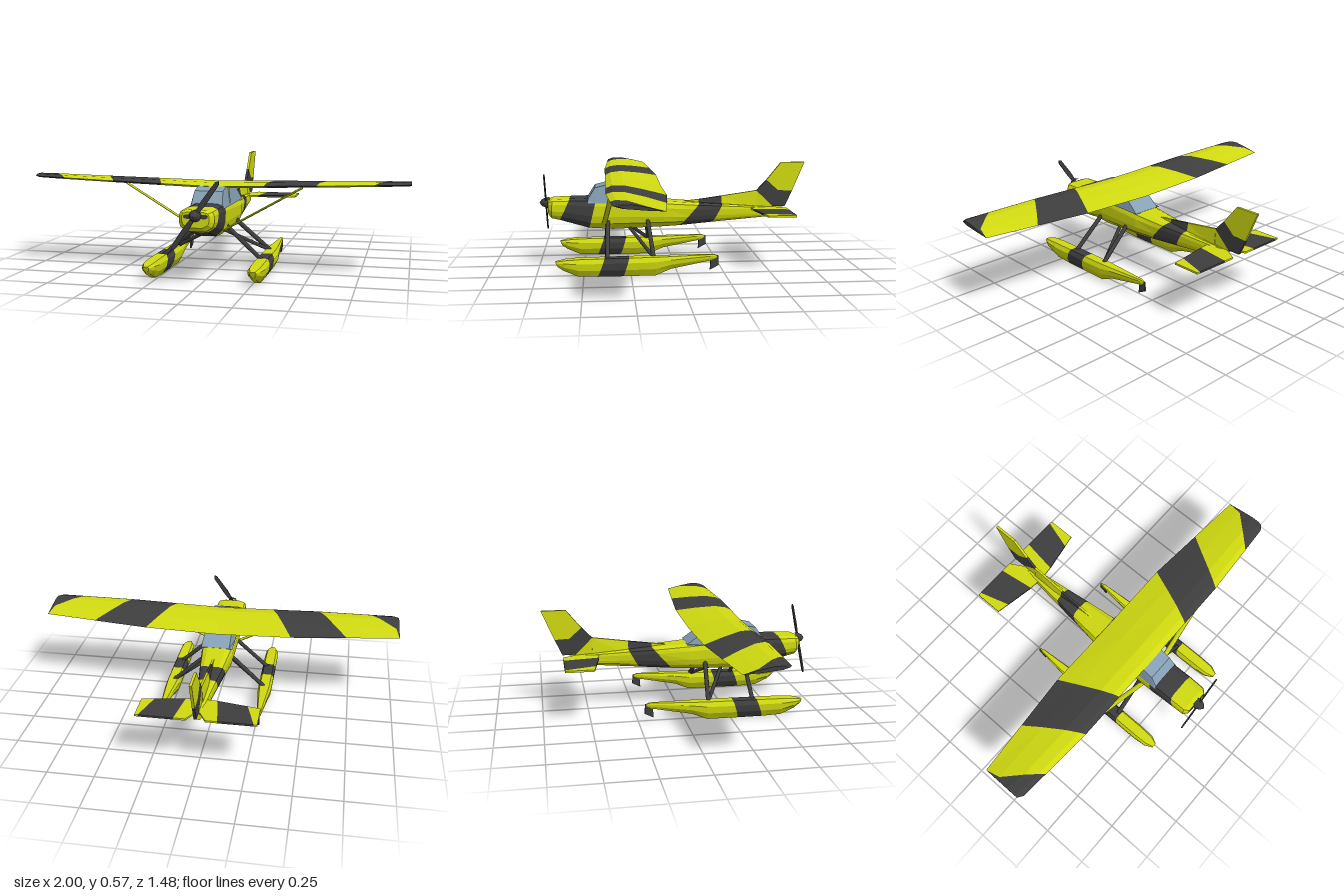
import * as THREE from 'three';

const paint = (name, color) => {
  const m = new THREE.MeshStandardMaterial({ color });
  m.name = name;
  return m;
};
const lerp = THREE.MathUtils.lerp;

export function createModel() {
  const model = new THREE.Group();
  model.name = 'floatplane';
  const yellow = paint('yellow', 0xd0da10);
  const dark = paint('charcoal', 0x3e3e3e);
  const glass = paint('glass', 0x86a0b6);

  function add(name, geometry, material, parent = model) {
    const mesh = new THREE.Mesh(geometry, material);
    mesh.name = name;
    parent.add(mesh);
    return mesh;
  }

  // Faceted skin over cross-sections, with one material per interval
  function loft(name, sections, materials) {
    const pos = [], geo = new THREE.BufferGeometry();
    const tri = (a, b, c) => pos.push(...a, ...b, ...c);
    const n = sections[0].length, last = sections.length - 1;
    for (let i = 0; i < last; i++) {
      const start = pos.length / 3, A = sections[i], B = sections[i + 1];
      for (let j = 0; j < n; j++) {
        const k = (j + 1) % n;
        tri(A[j], B[j], A[k]);
        tri(A[k], B[j], B[k]);
      }
      for (let j = 1; j < n - 1; j++) {
        if (i === 0) tri(A[0], A[j], A[j + 1]);
        if (i === last - 1) tri(B[0], B[j + 1], B[j]);
      }
      geo.addGroup(start, pos.length / 3 - start, i);
    }
    geo.setAttribute('position', new THREE.Float32BufferAttribute(pos, 3));
    geo.computeVertexNormals();
    return add(name, geo, materials);
  }

  // Section from a right-half outline [x fraction, y fraction]; z leans from zTop to zBottom
  const hullSection = (half, x0) => ([zt, zb, yt, yb, w]) =>
    [...half, ...half.map(([x, f]) => [-x, f]).reverse()]
      .map(([x, f]) => [x0 + x * w, lerp(yb, yt, f), lerp(zb, zt, f)]);

  // Thin plate from a flat outline; upright plates use (z, y), level ones (x, z)
  function plate(name, pts, thick, upright, material, at = [0, 0, 0]) {
    const geo = new THREE.ExtrudeGeometry(
      new THREE.Shape(pts.map(p => new THREE.Vector2(...p))), { depth: thick, bevelEnabled: false });
    geo.translate(0, 0, -thick / 2);
    if (upright) geo.rotateY(-Math.PI / 2); else geo.rotateX(Math.PI / 2);
    add(name, geo, material).position.set(...at);
  }

  // Rod between two points; flat squeezes it sideways into a blade
  function rod(name, a, b, r, material, flat = 1) {
    const p = new THREE.Vector3(...a), q = new THREE.Vector3(...b);
    const d = q.clone().sub(p);
    const geo = new THREE.CylinderGeometry(r, r, d.length(), 8).scale(flat, 1, 1);
    const mesh = add(name, geo, material);
    mesh.position.copy(p).add(q).multiplyScalar(0.5);
    mesh.quaternion.setFromUnitVectors(new THREE.Vector3(0, 1, 0), d.normalize());
  }

  // Fuselage
  const body = hullSection([[0.5, 0], [0.9, 0.2], [1, 0.42], [1, 0.75], [0.9, 0.92], [0.6, 1]], 0);
  loft('fuselage', [
    [0.692, 0.692, 0.372, 0.295, 0.068], [0.668, 0.675, 0.38, 0.275, 0.088],
    [0.575, 0.63, 0.383, 0.265, 0.09], [0.43, 0.47, 0.386, 0.219, 0.09],
    [0.34, 0.34, 0.386, 0.21, 0.09], [0.06, 0.06, 0.363, 0.22, 0.088],
    [-0.14, -0.03, 0.347, 0.223, 0.068], [-0.27, -0.215, 0.337, 0.238, 0.051],
    [-0.545, -0.545, 0.315, 0.262, 0.018],
  ].map(body), [yellow, yellow, dark, yellow, yellow, yellow, dark, yellow]);

  // Cabin glazing
  loft('cabinGlass', [
    [0.475, 0.384, 0.08], [0.437, 0.444, 0.074], [0.365, 0.462, 0.074],
    [0.17, 0.45, 0.074], [0.05, 0.363, 0.07],
  ].map(([z, yt, w]) => [[0.089, 0.36, z], [w, yt, z], [-w, yt, z], [-0.089, 0.36, z]]),
  [glass, glass, glass, glass]);

  // Dorsal ridge running into the fin
  loft('dorsalRidge', [
    [-0.03, 0.352, 0.006], [-0.14, 0.363, 0.014], [-0.27, 0.381, 0.02], [-0.468, 0.409, 0.014],
  ].map(([z, y, w]) => [[-w, 0.3, z], [w, 0.3, z], [0.006, y, z], [-0.006, y, z]]),
  [yellow, dark, yellow]);

  // Fin and rudder
  plate('finRoot', [[-0.467, 0.408], [-0.467, 0.29], [-0.545, 0.29], [-0.56, 0.318]], 0.014, true, yellow);
  plate('finStripe', [[-0.467, 0.408], [-0.524, 0.468], [-0.59, 0.409], [-0.67, 0.405],
    [-0.63, 0.317], [-0.56, 0.318]], 0.014, true, dark);
  plate('finTop', [[-0.524, 0.468], [-0.605, 0.567], [-0.738, 0.567], [-0.67, 0.405],
    [-0.59, 0.409]], 0.014, true, yellow);

  // Propeller and spinner
  const propeller = new THREE.Group();
  propeller.name = 'propeller';
  propeller.position.set(0, 0.355, 0.706);
  propeller.rotation.z = -0.61;
  model.add(propeller);
  for (const s of [0, Math.PI]) {
    const blade = new THREE.Shape();
    blade.moveTo(-0.008, 0);
    blade.lineTo(-0.015, 0.08);
    blade.lineTo(-0.011, 0.195);
    blade.lineTo(0, 0.207);
    blade.lineTo(0.011, 0.19);
    blade.lineTo(0.013, 0.08);
    blade.lineTo(0.008, 0);
    const geo = new THREE.ExtrudeGeometry(blade, { depth: 0.007, bevelEnabled: false });
    add('blade', geo.translate(0, 0, -0.0035), dark, propeller).rotation.z = s;
  }
  const cone = new THREE.LatheGeometry([[0.03, -0.02], [0.029, 0], [0.019, 0.022], [0, 0.036]]
    .map(p => new THREE.Vector2(...p)), 10).rotateX(Math.PI / 2);
  add('spinner', cone, dark, propeller);

  // Wing shape rules
  const leadingZ = x => x < 0.535 ? 0.38 : x < 0.97
    ? lerp(0.38, 0.355, (x - 0.535) / 0.435) : lerp(0.355, 0.335, (x - 0.97) / 0.03);
  const trailingZ = x => lerp(0.07, 0.12, Math.max(0, (x - 0.41) / 0.59));
  const foil = [[0, 0], [0.1, 0.019], [0.3, 0.029], [0.65, 0.018], [1, 0], [0.6, -0.008], [0.15, -0.011]];

  for (const s of [1, -1]) {
    const side = s > 0 ? 'left' : 'right';

    // Wing, with slanted stations that follow the stripes
    const wing = [[0, 0], [0.27, 0.41], [0.535, 0.715], [0.82, 1.07], [0.97, 1.07], [1, 1]]
      .map(([x0, x1]) => {
        const pts = foil.map(([t, h]) => {
          const x = Math.min(1, lerp(x0, x1, t));
          const thin = lerp(1, 0.65, x) * (x > 0.985 ? 0.85 : 1);
          return [s * x, 0.461 + 0.029 * x - 0.023 * t + h * thin, lerp(leadingZ(x), trailingZ(x), t)];
        });
        return s > 0 ? pts : pts.reverse();
      });
    loft(side + 'Wing', wing, [yellow, dark, yellow, dark, dark]);

    // Tailplane
    const tail = (name, pts, mat) =>
      plate(side + name, pts.map(([x, z]) => [s * x, z]), 0.01, false, mat, [0, 0.311, 0]);
    tail('TailplaneRoot', [[0, -0.43], [0.082, -0.437], [0.11, -0.63], [0.05, -0.63],
      [0.01, -0.56], [0, -0.56]], yellow);
    tail('TailplaneStripe', [[0.082, -0.437], [0.24, -0.465], [0.29, -0.63], [0.11, -0.63]], dark);
    tail('TailplaneTip', [[0.24, -0.465], [0.307, -0.477], [0.307, -0.628], [0.29, -0.63]], yellow);

    // Wing strut, window post and cowl intake
    rod(side + 'WingStrut', [s * 0.06, 0.235, 0.39], [s * 0.465, 0.463, 0.35], 0.014, yellow, 0.4);
    rod(side + 'WindowPost', [s * 0.086, 0.37, 0.335], [s * 0.075, 0.455, 0.325], 0.008, yellow, 0.6);
    const intake = new THREE.CylinderGeometry(0.022, 0.022, 0.005, 10).rotateX(Math.PI / 2).scale(1, 0.5, 1);
    add(side + 'Intake', intake, dark).position.set(s * 0.04, 0.35, 0.693);

    // Float
    const floatHull = hullSection([[0.35, 0], [0.9, 0.38], [1, 0.75], [0.7, 1]], s * 0.27);
    loft(side + 'Float', [
      [0.647, 0.635, 0.083, 0.055, 0.016], [0.6, 0.605, 0.092, 0.036, 0.035],
      [0.53, 0.53, 0.097, 0.004, 0.039], [0.39, 0.425, 0.099, 0, 0.039],
      [0.26, 0.29, 0.1, 0, 0.039], [0.12, 0.12, 0.102, 0.001, 0.038],
      [0.04, 0.04, 0.103, 0.034, 0.032], [-0.19, -0.185, 0.107, 0.076, 0.01],
      [-0.212, -0.205, 0.1, 0.08, 0.004],
    ].map(floatHull), [yellow, yellow, yellow, dark, yellow, yellow, yellow, yellow]);
    plate(side + 'WaterRudder', [[-0.175, 0.1], [-0.215, 0.1], [-0.218, 0.048], [-0.17, 0.024]],
      0.009, true, dark, [s * 0.27, 0, 0]);

    // Float struts
    rod(side + 'FrontFloatStrut', [s * 0.07, 0.265, 0.368], [s * 0.262, 0.09, 0.375], 0.012, dark);
    rod(side + 'RearFloatStrut', [s * 0.07, 0.265, 0.15], [s * 0.262, 0.095, 0.13], 0.012, dark);
    rod(side + 'DiagonalFloatStrut', [s * 0.035, 0.218, 0.25], [s * 0.262, 0.095, 0.13], 0.01, dark);
  }
  return model;
}
